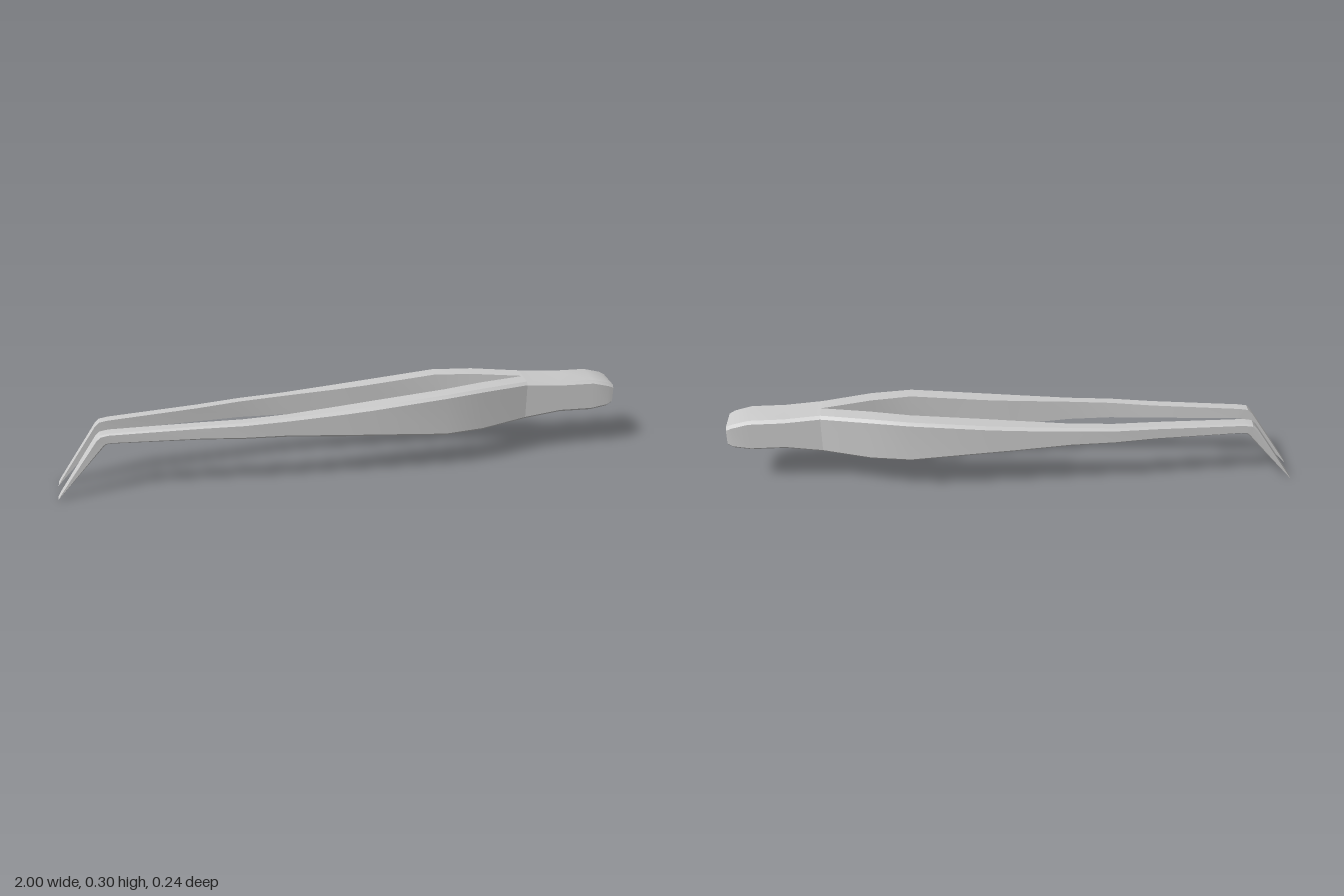
import * as THREE from 'three';
import { toCreasedNormals } from 'three/addons/utils/BufferGeometryUtils.js';

// Arm stations, tip to joint: [top x, top y, bottom x, bottom y, inner z, outer z]
const ARM = [
  [-0.99, 0.018, -1, 0, 0.036, 0.064],
  [-0.855, 0.222, -0.827, 0.195, 0.033, 0.069],
  [-0.84, 0.236, -0.818, 0.201, 0.033, 0.07],
  [-0.81, 0.241, -0.80, 0.202, 0.033, 0.07],
  [-0.5, 0.249, -0.5, 0.198, 0.054, 0.091],
  [-0.35, 0.254, -0.35, 0.193, 0.069, 0.106],
  [-0.2, 0.260, -0.2, 0.187, 0.072, 0.109],
  [0, 0.272, 0, 0.172, 0.065, 0.116],
  [0.1, 0.279, 0.1, 0.165, 0.062, 0.118],
  [0.36, 0.300, 0.36, 0.143, 0.062, 0.118],
  [0.5, 0.302, 0.5, 0.140, 0.036, 0.096],
  [0.67, 0.296, 0.67, 0.149, 0, 0.058],
];

// Handle stations, joint to butt end: [x, top y, bottom y, half width]
const HANDLE = [
  [0.67, 0.296, 0.149, 0.058],
  [0.8, 0.283, 0.165, 0.058],
  [0.92, 0.280, 0.162, 0.058],
  [0.98, 0.264, 0.171, 0.057],
  [1, 0.253, 0.181, 0.053],
];

// Outer profile of a section, from top to bottom, with chamfered corners
function outerEdge([tx, ty, bx, by, , zo], side) {
  const h = Math.hypot(tx - bx, ty - by);
  const c = Math.min(0.01, h * 0.13);
  const at = (t, z) => [bx + (tx - bx) * t, by + (ty - by) * t, z * side];
  return [at(1, zo - c), at(1 - c / h, zo), at(c / h, zo), at(0, zo - c)];
}

// Skin a list of rings running towards +x
function loft(rings) {
  const pos = [];
  const tri = (a, b, c) => pos.push(...a, ...b, ...c);
  const n = rings[0].length;
  for (let i = 0; i < rings.length - 1; i++) {
    for (let j = 0; j < n; j++) {
      const k = (j + 1) % n;
      const a = rings[i][j], b = rings[i][k], c = rings[i + 1][k], d = rings[i + 1][j];
      tri(a, b, c);
      tri(a, c, d);
    }
  }
  const first = rings[0], last = rings[rings.length - 1];
  for (let j = 1; j < n - 1; j++) {
    tri(first[0], first[j + 1], first[j]);
    tri(last[0], last[j], last[j + 1]);
  }
  const g = new THREE.BufferGeometry();
  g.setAttribute('position', new THREE.Float32BufferAttribute(pos, 3));
  return toCreasedNormals(g, THREE.MathUtils.degToRad(24));
}

export function createModel() {
  const group = new THREE.Group();
  const material = new THREE.MeshStandardMaterial({ color: 0xcccccc });
  const add = (name, rings) => {
    const mesh = new THREE.Mesh(loft(rings), material);
    mesh.name = name;
    group.add(mesh);
  };

  // Two mirrored arms with bent tips
  for (const side of [1, -1]) {
    const rings = ARM.map((s) => {
      const [tx, ty, bx, by, zi] = s;
      const ring = [[bx, by, zi * side], [tx, ty, zi * side], ...outerEdge(s, side)];
      return side > 0 ? ring : ring.reverse();
    });
    add(side > 0 ? 'frontArm' : 'backArm', rings);
  }

  // Solid handle joining the arms
  add('handle', HANDLE.map(([x, top, bottom, w]) => {
    const s = [x, top, x, bottom, 0, w];
    return [...outerEdge(s, 1), ...outerEdge(s, -1).reverse()];
  }));

  return group;
}
